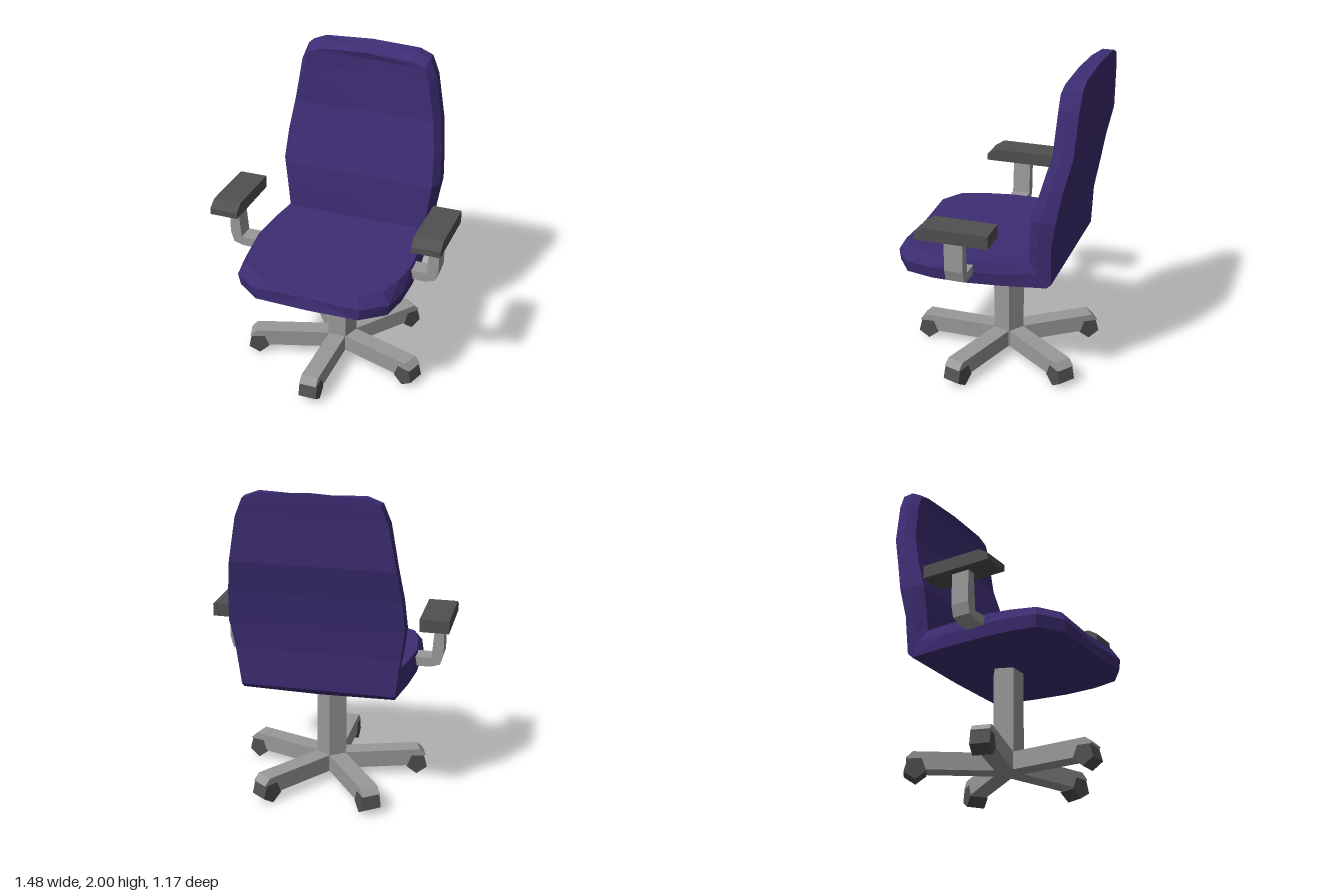
import * as THREE from 'three';

const mat = (color, side = THREE.FrontSide) =>
  new THREE.MeshStandardMaterial({ color, flatShading: true, side });
const fabric = mat(0x3d2d73);
const metal = mat(0x999999);
const plastic = mat(0x505050);

function addMesh(parent, name, geometry, material) {
  const mesh = new THREE.Mesh(geometry, material);
  mesh.name = name;
  parent.add(mesh);
  return mesh;
}

// Extrude a polygon in the xy plane, centred on z = 0
function prism(points, width) {
  const shape = new THREE.Shape(points.map(([x, y]) => new THREE.Vector2(x, y)));
  return new THREE.ExtrudeGeometry(shape, { depth: width, bevelEnabled: false }).translate(0, 0, -width / 2);
}

// Closed skin over rings of points, with fan caps at both ends
function loft(rings) {
  const n = rings[0].length;
  const pos = rings.flat(2);
  const index = [];
  for (let i = 0; i < rings.length - 1; i++) {
    for (let j = 0; j < n; j++) {
      const a = i * n + j, b = i * n + (j + 1) % n;
      index.push(a, b, a + n, b, b + n, a + n);
    }
  }
  const cap = (ring, base, flip) => {
    const c = pos.length / 3;
    for (let k = 0; k < 3; k++) pos.push(ring.reduce((s, p) => s + p[k], 0) / n);
    for (let j = 0; j < n; j++) {
      const a = base + j, b = base + (j + 1) % n;
      index.push(c, flip ? b : a, flip ? a : b);
    }
  };
  cap(rings[0], 0, true);
  cap(rings[rings.length - 1], (rings.length - 1) * n, false);
  const geo = new THREE.BufferGeometry();
  geo.setAttribute('position', new THREE.Float32BufferAttribute(pos, 3));
  geo.setIndex(index);
  geo.computeVertexNormals();
  return geo;
}

// Seat and backrest are one bent cushion. Each station holds three edges as
// [half width, y, z]: padded face, widest rim, underside or back.
function cushion() {
  const stations = [
    [[0.31, 0.85, 0.54], [0.34, 0.78, 0.58], [0.33, 0.705, 0.575]],
    [[0.44, 0.855, 0.45], [0.49, 0.785, 0.475], [0.475, 0.71, 0.47]],
    [[0.49, 0.855, 0.3], [0.525, 0.785, 0.3], [0.51, 0.71, 0.3]],
    [[0.515, 0.86, 0.1], [0.53, 0.79, 0.12], [0.515, 0.712, 0.1]],
    [[0.495, 0.87, -0.13], [0.51, 0.8, -0.13], [0.5, 0.72, -0.13]],
    [[0.465, 0.88, -0.3], [0.475, 0.82, -0.36], [0.465, 0.73, -0.41]],
    [[0.465, 0.9, -0.301], [0.48, 0.88, -0.36], [0.47, 0.76, -0.44]],
    [[0.475, 1.0, -0.305], [0.505, 1.0, -0.365], [0.5, 1.0, -0.445]],
    [[0.495, 1.17, -0.318], [0.53, 1.18, -0.38], [0.527, 1.18, -0.475]],
    [[0.485, 1.37, -0.375], [0.518, 1.37, -0.435], [0.515, 1.37, -0.51]],
    [[0.455, 1.57, -0.43], [0.49, 1.57, -0.49], [0.488, 1.57, -0.56]],
    [[0.41, 1.83, -0.447], [0.445, 1.84, -0.505], [0.44, 1.84, -0.575]],
    [[0.38, 1.91, -0.45], [0.4, 1.95, -0.51], [0.395, 1.95, -0.582]],
    [[0.3, 1.942, -0.452], [0.31, 1.985, -0.515], [0.31, 1.985, -0.583]],
  ];
  const rings = stations.map(([t, m, b], i) => {
    const onSeat = i < 6;
    const last = i === stations.length - 1;
    // Padded face is slightly hollow along the middle; the top edge is crowned
    const top = [0, t[1] + (onSeat ? -0.018 : last ? 0.013 : 0), t[2] - (i > 4 && !last ? 0.016 : 0)];
    const under = [0, b[1] + (onSeat ? -0.008 : last ? 0.015 : 0), b[2]];
    const left = [t, m, b];
    const right = [b, m, t].map(([x, y, z]) => [-x, y, z]);
    return [top, ...left, under, ...right];
  });
  return loft(rings);
}

export function createModel() {
  const chair = new THREE.Group();
  chair.name = 'officeChair';
  addMesh(chair, 'seatAndBackrest', cushion(), fabric);

  // Five-sided column with five legs, one pointing forward
  const base = new THREE.Group();
  base.name = 'base';
  base.position.z = -0.027;
  chair.add(base);
  const column = addMesh(base, 'column', new THREE.CylinderGeometry(0.1, 0.1, 0.67, 5, 1, false, Math.PI / 5), metal);
  column.position.y = 0.395;

  const legGeo = prism([[0.07, 0.06], [0.5, 0.06], [0.6, 0.13], [0.56, 0.17], [0.07, 0.17]], 0.112);
  const wheelPoints = [];
  for (let k = 0; k < 5; k++) {
    const a = -0.37 + k * Math.PI * 0.4;
    wheelPoints.push([0.545 + 0.07 * Math.cos(a), 0.07 + 0.07 * Math.sin(a)]);
  }
  const wheelGeo = prism(wheelPoints, 0.116);
  for (let i = 0; i < 5; i++) {
    const arm = new THREE.Group();
    arm.name = 'legWithCaster';
    arm.rotation.y = i * Math.PI * 0.4 - Math.PI / 2;
    base.add(arm);
    addMesh(arm, 'leg', legGeo, metal);
    addMesh(arm, 'caster', wheelGeo, plastic);
  }

  // Armrests: bent bracket and chamfered pad
  const bracketPoints = [[0.45, 0.78], [0.61, 0.78], [0.67, 0.8], [0.69, 0.87],
    [0.69, 1.08], [0.635, 1.08], [0.615, 0.84], [0.45, 0.84]];
  const padGeo = prism([[-0.14, 1.07], [0.31, 1.07], [0.31, 1.11], [0.25, 1.15], [-0.14, 1.15]], 0.18);
  for (const [side, label] of [[1, 'left'], [-1, 'right']]) {
    const points = bracketPoints.map(([x, y]) => [side * x, y]);
    addMesh(chair, label + 'ArmBracket', prism(points, 0.115), metal).position.z = 0.088;
    const pad = addMesh(chair, label + 'ArmPad', padGeo, plastic);
    pad.rotation.y = -Math.PI / 2;
    pad.position.x = side * 0.65;
  }
  return chair;
}
